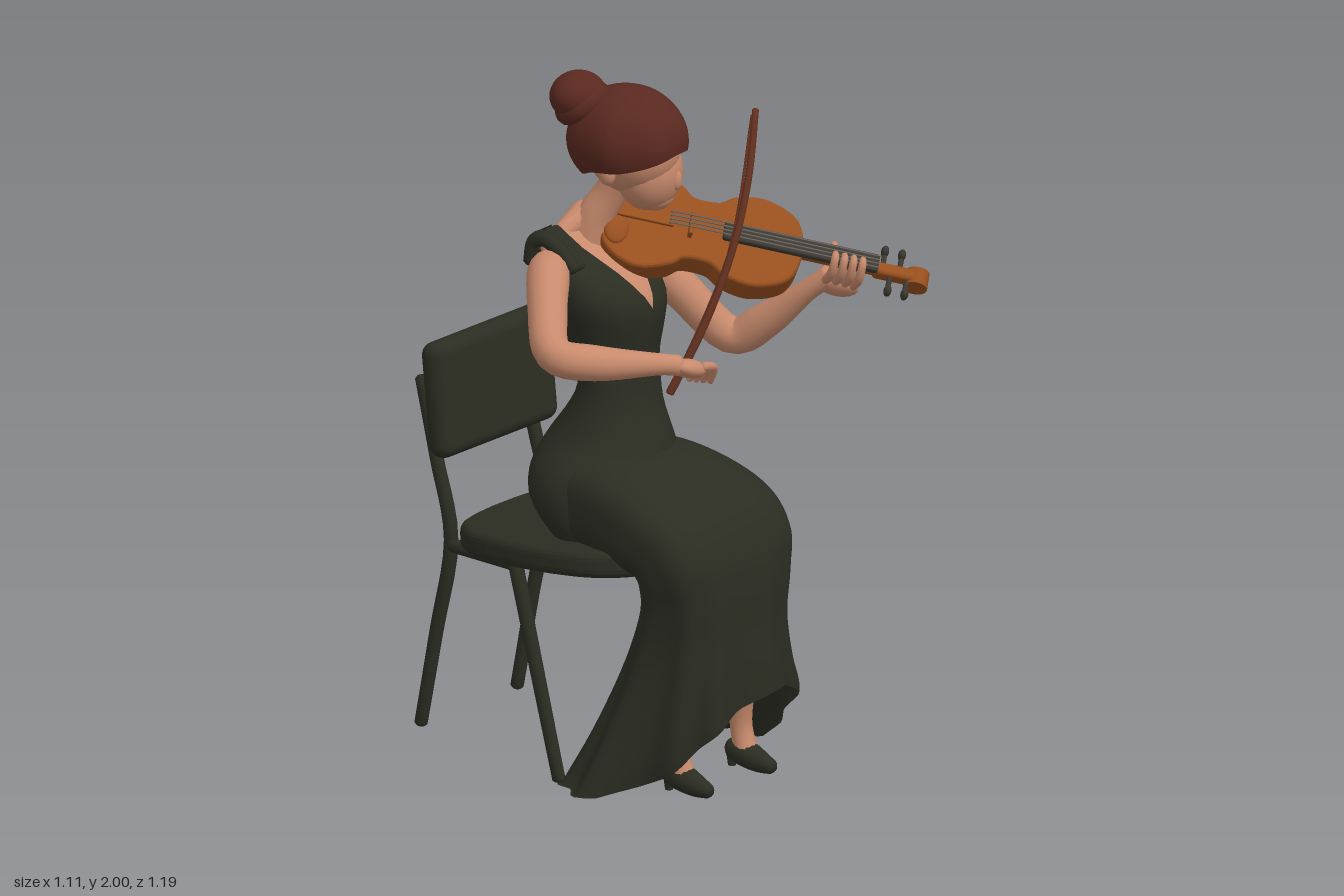
import * as THREE from 'three';
import { RoundedBoxGeometry } from 'three/addons/geometries/RoundedBoxGeometry.js';

const V = (x, y, z) => new THREE.Vector3(x, y, z);
const mat = (name, color) => {
  const m = new THREE.MeshStandardMaterial({ color, side: THREE.DoubleSide });
  m.name = name;
  return m;
};

// Smooth in-between rows through a short table of numbers
function smooth(rows, n) {
  const out = [], at = i => rows[Math.max(0, Math.min(rows.length - 1, i))];
  for (let i = 0; i < rows.length - 1; i++) for (let k = 0; k < n; k++) {
    const t = k / n;
    out.push(rows[i].map((b, c) => {
      const a = at(i - 1)[c], d = at(i + 1)[c], e = at(i + 2)[c];
      return b + 0.5 * t * (d - a + t * (2 * a - 5 * b + 4 * d - e + t * (3 * (b - d) + e - a)));
    }));
  }
  out.push(rows[rows.length - 1]);
  return out;
}

// Skin a list of closed rings
function loft(rings, capStart = true, capEnd = true) {
  const n = rings[0].length, pts = rings.flat(), idx = [];
  for (let i = 0; i < rings.length - 1; i++) for (let j = 0; j < n; j++) {
    const a = i * n + j, b = i * n + (j + 1) % n;
    idx.push(a, b, a + n, b, b + n, a + n);
  }
  const cap = (ring, base, flip) => {
    const c = pts.length;
    pts.push(ring.reduce((s, p) => s.add(p), V(0, 0, 0)).divideScalar(n));
    for (let j = 0; j < n; j++) {
      const a = base + j, b = base + (j + 1) % n;
      idx.push(c, flip ? b : a, flip ? a : b);
    }
  };
  if (capStart) cap(rings[0], 0, true);
  if (capEnd) cap(rings[rings.length - 1], (rings.length - 1) * n, false);
  const g = new THREE.BufferGeometry().setFromPoints(pts);
  g.setIndex(idx);
  g.computeVertexNormals();
  return g;
}

// Tapered round limb through rows of x, y, z, radius
function limb(rows, sides = 12) {
  const s = smooth(rows, 5), p = s.map(r => V(r[0], r[1], r[2])), rings = [];
  let u = V(0.31, 0.2, 0.93);
  p.forEach((c, i) => {
    const t = p[Math.min(i + 1, p.length - 1)].clone().sub(p[Math.max(i - 1, 0)]).normalize();
    u = u.clone().addScaledVector(t, -u.dot(t)).normalize();
    const v = t.clone().cross(u), ring = (k, off) => Array.from({ length: sides }, (_, j) => {
      const a = j / sides * Math.PI * 2;
      return c.clone().addScaledVector(t, off).addScaledVector(u, k * Math.cos(a)).addScaledVector(v, k * Math.sin(a));
    });
    const r = s[i][3];
    if (i === 0) rings.push(ring(r * 0.6, -r * 0.4));
    rings.push(ring(r, 0));
    if (i === p.length - 1) rings.push(ring(r * 0.6, r * 0.4));
  });
  return loft(rings);
}

// Torso profile: y, centre x, half width, back z, front z
const TORSO = smooth([
  [0.64, -0.04, 0.19, -0.14, 0.06], [0.71, -0.04, 0.235, -0.22, 0.08], [0.79, -0.04, 0.25, -0.285, 0.1],
  [0.87, -0.04, 0.23, -0.29, 0.1], [0.95, -0.025, 0.18, -0.26, 0.08], [1.03, -0.022, 0.15, -0.2, 0.05],
  [1.1, -0.022, 0.135, -0.165, 0.04], [1.18, -0.022, 0.14, -0.175, 0.035], [1.27, -0.03, 0.162, -0.213, 0.055],
  [1.35, -0.038, 0.182, -0.235, 0.06], [1.43, -0.045, 0.188, -0.24, 0], [1.5, -0.05, 0.193, -0.235, -0.09],
  [1.54, -0.05, 0.19, -0.22, -0.13], [1.565, -0.05, 0.178, -0.18, -0.17]], 4);

function torso(topAt, bottom, grow, closed) {
  const rings = [], n = 64, rows = 30;
  for (let i = 0; i <= rows; i++) {
    const ring = [];
    for (let j = 0; j < n; j++) {
      const a = j / n * Math.PI * 2, s = Math.sin(a), c = Math.cos(a);
      const y = bottom + (topAt(s, c) - bottom) * i / rows;
      let k = 0;
      while (k < TORSO.length - 2 && TORSO[k + 1][0] < y) k++;
      const A = TORSO[k], B = TORSO[k + 1], t = (y - A[0]) / (B[0] - A[0]);
      const [, cx, hw, zb, zf] = A.map((q, m) => q + (B[m] - q) * t);
      ring.push(V(cx + (hw + grow) * s, y, (zb + zf) / 2 + ((zf - zb) / 2 + grow) * c));
    }
    rings.push(ring);
  }
  return loft(rings, true, closed);
}

// Skirt sections: inner z, inner y, outer z, outer y, centre x, half width
function skirt() {
  const rows = smooth([
    [-0.15, 0.68, -0.15, 0.92, -0.04, 0.22], [0, 0.64, 0.03, 0.93, -0.04, 0.255], [0.1, 0.62, 0.2, 0.885, -0.04, 0.28],
    [0.15, 0.61, 0.33, 0.815, -0.04, 0.28], [0.16, 0.58, 0.4, 0.71, -0.04, 0.275], [0.14, 0.5, 0.42, 0.6, -0.04, 0.255],
    [0.08, 0.35, 0.425, 0.49, -0.04, 0.26], [0, 0.18, 0.432, 0.38, -0.025, 0.32], [-0.09, 0.02, 0.435, 0.28, 0.01, 0.42]], 5);
  const n = 80, soft = q => Math.sign(q) * Math.abs(q) ** 0.66;
  return loft(rows.map(([iz, iy, oz, oy, cx, hw], i) => Array.from({ length: n }, (_, j) => {
    const a = j / n * Math.PI * 2, c = soft(Math.cos(a)), s = Math.sin(a);
    const t = Math.max(0, (i / (rows.length - 1) - 0.5) * 2), f = 1 + 0.045 * t * Math.cos(10 * a + 1);
    const y = (iy + oy) / 2 + (oy - iy) / 2 * c - 0.12 * t * t * s * s;
    // The hem is narrow in front and spreads towards the trailing back
    const front = t * t * THREE.MathUtils.smoothstep(c, -0.6, 0.6);
    const x = cx - hw * soft(s) * f * (1 - 0.34 * front) - 0.04 * front;
    return V(x, Math.max(0.012, y + 0.15 * t * x * Math.max(0, c)), (iz + oz) / 2 + (oz - iz) / 2 * c * f);
  })), true, false);
}

// Hair: a ball whose lower edge is high over the face and low at the nape
function hairCap() {
  const g = new THREE.SphereGeometry(1, 48, 28, 0, Math.PI * 2, 0, Math.PI * 0.9), p = g.attributes.position;
  for (let i = 0; i < p.count; i++) {
    const a = Math.atan2(p.getX(i), p.getZ(i)), c = Math.cos(a);
    const edge = 0.655 + (c > 0 ? -0.105 : 0.12) * c * c;
    const th = Math.acos(p.getY(i)) * edge / 0.9, r = 1 + 0.02 * Math.sin(7 * a) * Math.sin(th) ** 2;
    p.setXYZ(i, r * Math.sin(th) * Math.sin(a), Math.cos(th), r * Math.sin(th) * c);
  }
  g.computeVertexNormals();
  return g;
}

export function createModel() {
  const root = new THREE.Group();
  const olive = mat('darkOlive', 0x2b2d22), skin = mat('skin', 0xc88a6c), hair = mat('auburnHair', 0x5a2920);
  const wood = mat('violinWood', 0x984f1e), ebony = mat('ebony', 0x3d3932), bowWood = mat('bowWood', 0x62301f);
  const strings = mat('strings', 0x6b6560);
  const add = (name, geo, m, parent = root) => {
    const mesh = new THREE.Mesh(geo, m);
    mesh.name = name;
    parent.add(mesh);
    return mesh;
  };
  const ball = (name, p, r, m, parent) => {
    const b = add(name, new THREE.SphereGeometry(1, 28, 20), m, parent);
    b.position.set(...p);
    b.scale.set(...r);
    return b;
  };

  // Dress: V neck in front, scoop at the back, cut away at the arms
  const neckline = (s, c) => {
    const q = Math.abs(s), k = Math.min(1, q / 0.64);
    if (q > 0.93) return 1.564 - 0.12 * Math.min(1, (q - 0.93) / 0.06);
    return c > 0 ? 1.33 + 0.234 * k : 1.37 + 0.194 * k ** 3;
  };
  add('bodice', torso(neckline, 0.64, 0, false), olive);
  add('skirt', skirt(), olive);
  add('chestAndBack', torso(() => 1.55, 1.2, -0.008, true), skin);
  for (const x of [-0.203, 0.108]) for (const dx of [-0.014, 0.014])
    add('shoulderStrap', limb([[x + dx, 1.46, -0.225, 0.02], [x + dx, 1.515, -0.21, 0.024], [x + dx, 1.533, -0.175, 0.025],
      [x + dx, 1.51, -0.125, 0.022], [x + dx, 1.46, -0.075, 0.018]], 12), olive);

  // Neck and head
  add('neck', limb([[-0.05, 1.46, -0.16, 0.07], [-0.047, 1.56, -0.13, 0.055], [-0.03, 1.64, -0.085, 0.047], [-0.02, 1.72, -0.04, 0.05]], 16), skin);
  add('shoulderSlope', limb([[-0.16, 1.525, -0.175, 0.025], [-0.09, 1.555, -0.165, 0.035], [-0.05, 1.57, -0.16, 0.04],
    [-0.01, 1.555, -0.165, 0.035], [0.06, 1.525, -0.175, 0.025]], 12), skin);
  ball('skull', [-0.03, 1.78, -0.01], [0.125, 0.125, 0.135], skin);
  ball('face', [-0.008, 1.715, 0.03], [0.1, 0.11, 0.092], skin);
  ball('chin', [-0.003, 1.65, 0.045], [0.06, 0.045, 0.055], skin);
  ball('nose', [0.006, 1.7, 0.112], [0.018, 0.03, 0.016], skin);
  ball('ear', [-0.15, 1.735, -0.01], [0.02, 0.035, 0.025], skin);
  const cap = add('hairCap', hairCap(), hair);
  cap.scale.set(0.152, 0.15, 0.172);
  cap.position.set(-0.043, 1.812, -0.02);
  cap.rotation.y = 0.2;
  ball('bun', [-0.115, 1.93, -0.135], [0.085, 0.07, 0.077], hair);
  const coil = add('bunCoil', new THREE.TorusGeometry(0.05, 0.034, 12, 28), hair);
  coil.position.set(-0.11, 1.91, -0.125);
  coil.rotation.set(Math.PI / 2 - 0.5, 0.35, 0);

  // Arms
  add('rightArm', limb([[-0.21, 1.46, -0.165, 0.045], [-0.262, 1.448, -0.13, 0.06], [-0.375, 1.39, -0.05, 0.056], [-0.497, 1.31, 0.06, 0.052],
    [-0.435, 1.285, 0.16, 0.05], [-0.3, 1.27, 0.275, 0.031], [-0.25, 1.26, 0.305, 0.03]], 16), skin);
  add('leftArm', limb([[0.11, 1.46, -0.165, 0.045], [0.155, 1.438, -0.145, 0.06], [0.23, 1.31, -0.04, 0.056], [0.31, 1.175, 0.075, 0.052],
    [0.335, 1.23, 0.18, 0.05], [0.35, 1.335, 0.31, 0.031], [0.37, 1.385, 0.375, 0.032]], 16), skin);
  const hand = ball('rightPalm', [-0.215, 1.245, 0.318], [0.06, 0.027, 0.04], skin);
  hand.rotation.z = -0.3;
  for (let i = 0; i < 4; i++) add('rightFinger', limb([[-0.19, 1.25 - i * 0.008, 0.348 - i * 0.018, 0.013],
    [-0.14, 1.235 - i * 0.008, 0.348 - i * 0.022, 0.012], [-0.12 - i * 0.006, 1.185, 0.32 - i * 0.02, 0.009]], 8), skin);
  add('rightThumb', limb([[-0.23, 1.245, 0.29, 0.015], [-0.18, 1.215, 0.27, 0.012], [-0.135, 1.2, 0.26, 0.009]], 8), skin);

  // Legs and shoes
  for (const [x, knee] of [[-0.175, -0.14], [0.12, 0.07]]) {
    add('leg', limb([[knee, 0.5, 0.28, 0.05], [x * 0.6 + knee * 0.4, 0.32, 0.27, 0.045], [x, 0.14, 0.25, 0.032], [x, 0.05, 0.27, 0.035]], 14), skin);
    add('shoe', limb([[x, 0.06, 0.22, 0.03], [x, 0.05, 0.26, 0.039], [x, 0.033, 0.31, 0.033], [x, 0.022, 0.358, 0.02]], 14), olive);
    add('heel', new THREE.CylinderGeometry(0.018, 0.011, 0.05, 10), olive).position.set(x, 0.03, 0.22);
  }

  // Violin, built along its own y axis with the top plate facing z
  const violin = new THREE.Group();
  violin.name = 'violin';
  const d = V(0.597, -0.23, 0.768).normalize(), nrm = V(-0.45, 0.7, 0.56);
  nrm.addScaledVector(d, -nrm.dot(d)).normalize();
  violin.quaternion.setFromRotationMatrix(new THREE.Matrix4().makeBasis(d.clone().cross(nrm), d, nrm));
  violin.position.set(-0.002, 1.558, -0.13);
  root.add(violin);
  const half = [[0.1, 0.015], [0.148, 0.1], [0.122, 0.19], [0.09, 0.235], [0.09, 0.31], [0.12, 0.36], [0.13, 0.44], [0.09, 0.525]];
  const outline = [...half, [0, 0.55], ...half.map(([x, y]) => [-x, y]).reverse(), [0, 0]].map(p => new THREE.Vector2(...p));
  const body = new THREE.Shape().moveTo(0, 0).splineThru(outline);
  const bodyGeo = new THREE.ExtrudeGeometry(body, { depth: 0.06, bevelThickness: 0.014, bevelSize: 0.01, bevelSegments: 3, curveSegments: 60 });
  add('violinBody', bodyGeo.translate(0, 0, -0.035), wood, violin);
  const block = (name, w, h, dp, p, m) => add(name, new RoundedBoxGeometry(w, h, dp, 2, Math.min(w, h, dp) * 0.3), m, violin).position.set(...p);
  block('violinNeck', 0.032, 0.3, 0.035, [0, 0.65, 0.03], wood);
  block('fingerboard', 0.054, 0.44, 0.022, [0, 0.55, 0.058], ebony);
  block('bridge', 0.07, 0.012, 0.035, [0, 0.24, 0.05], wood);
  block('tailpiece', 0.045, 0.16, 0.012, [0, 0.11, 0.058], wood);
  block('pegBox', 0.038, 0.12, 0.045, [0, 0.82, 0.025], wood);
  ball('chinRest', [0.055, 0.035, 0.045], [0.05, 0.035, 0.015], wood, violin);
  const scroll = add('scroll', new THREE.CylinderGeometry(0.034, 0.034, 0.05, 16), wood, violin);
  scroll.position.set(0, 0.885, 0.015);
  scroll.rotation.z = Math.PI / 2;
  for (let i = 0; i < 4; i++) {
    const side = i % 2 ? 1 : -1, y = 0.785 + i * 0.024;
    add('peg', limb([[0, y, 0.03, 0.007], [side * 0.045, y, 0.03, 0.008]], 8), ebony, violin);
    ball('pegHead', [side * 0.06, y, 0.03], [0.016, 0.011, 0.02], ebony, violin);
    const x = (i - 1.5) * 0.012;
    add('string', limb([[x, 0.18, 0.066, 0.0025], [x, 0.24, 0.074, 0.0025], [x, 0.77, 0.072, 0.0025]], 5), strings, violin);
    // Left fingers curl over the fingerboard
    const fy = 0.645 + i * 0.026;
    add('leftFinger', limb([[0.045, fy - 0.01, -0.02, 0.014], [0.055, fy, 0.045, 0.013], [0.03, fy, 0.088, 0.011], [0.006, fy, 0.077, 0.009]], 8), skin, violin);
  }
  ball('leftPalm', [0.045, 0.675, -0.025], [0.026, 0.06, 0.042], skin, violin);
  add('leftThumb', limb([[0.03, 0.64, -0.03, 0.016], [-0.03, 0.64, 0, 0.014], [-0.035, 0.64, 0.055, 0.01]], 8), skin, violin);

  // Bow
  add('bowStick', limb([[-0.15, 1.14, 0.205, 0.013], [-0.05, 1.32, 0.25, 0.012], [0.055, 1.51, 0.268, 0.011], [0.155, 1.69, 0.25, 0.011], [0.248, 1.86, 0.207, 0.01]], 8), bowWood);
  add('bowHair', limb([[-0.14, 1.16, 0.205, 0.004], [0.05, 1.5, 0.258, 0.004], [0.24, 1.845, 0.2, 0.004]], 6), bowWood);

  // Chair
  const chair = new THREE.Group();
  chair.name = 'chair';
  chair.position.x = -0.02;
  root.add(chair);
  const right = [[0.2, -0.17], [0.29, -0.08], [0.32, 0.06], [0.31, 0.22], [0.27, 0.37], [0.2, 0.43]];
  const seat = new THREE.Shape(new THREE.CatmullRomCurve3([...right, ...right.map(([x, y]) => [-x, y]).reverse()]
    .map(([x, y]) => V(x, y, 0)), true).getPoints(60).map(p => new THREE.Vector2(p.x, p.y)));
  const seatMesh = add('seat', new THREE.ExtrudeGeometry(seat, { depth: 0.025, bevelThickness: 0.025, bevelSize: 0.02, bevelSegments: 4 }), olive, chair);
  seatMesh.rotation.x = -Math.PI / 2 - 0.03;
  seatMesh.position.y = 0.645;
  const back = add('backrest', new RoundedBoxGeometry(0.54, 0.33, 0.08, 5, 0.038), olive, chair);
  back.position.set(0, 1.02, -0.508);
  back.rotation.x = -0.1;
  for (const s of [-1, 1]) {
    add('rearPost', limb([[s * 0.225, 1.07, -0.575, 0.02], [s * 0.225, 0.85, -0.525, 0.02], [s * 0.225, 0.62, -0.475, 0.021],
      [s * 0.225, 0.35, -0.525, 0.02], [s * 0.225, 0.075, -0.578, 0.019]], 10), olive, chair);
    add('frontLeg', limb([[s * 0.285, 0.63, -0.215, 0.022], [s * 0.295, 0.02, -0.055, 0.019]], 10), olive, chair);
    add('sideRail', limb([[s * 0.225, 0.605, -0.475, 0.02], [s * 0.285, 0.61, -0.21, 0.02]], 10), olive, chair);
  }
  return root;
}
